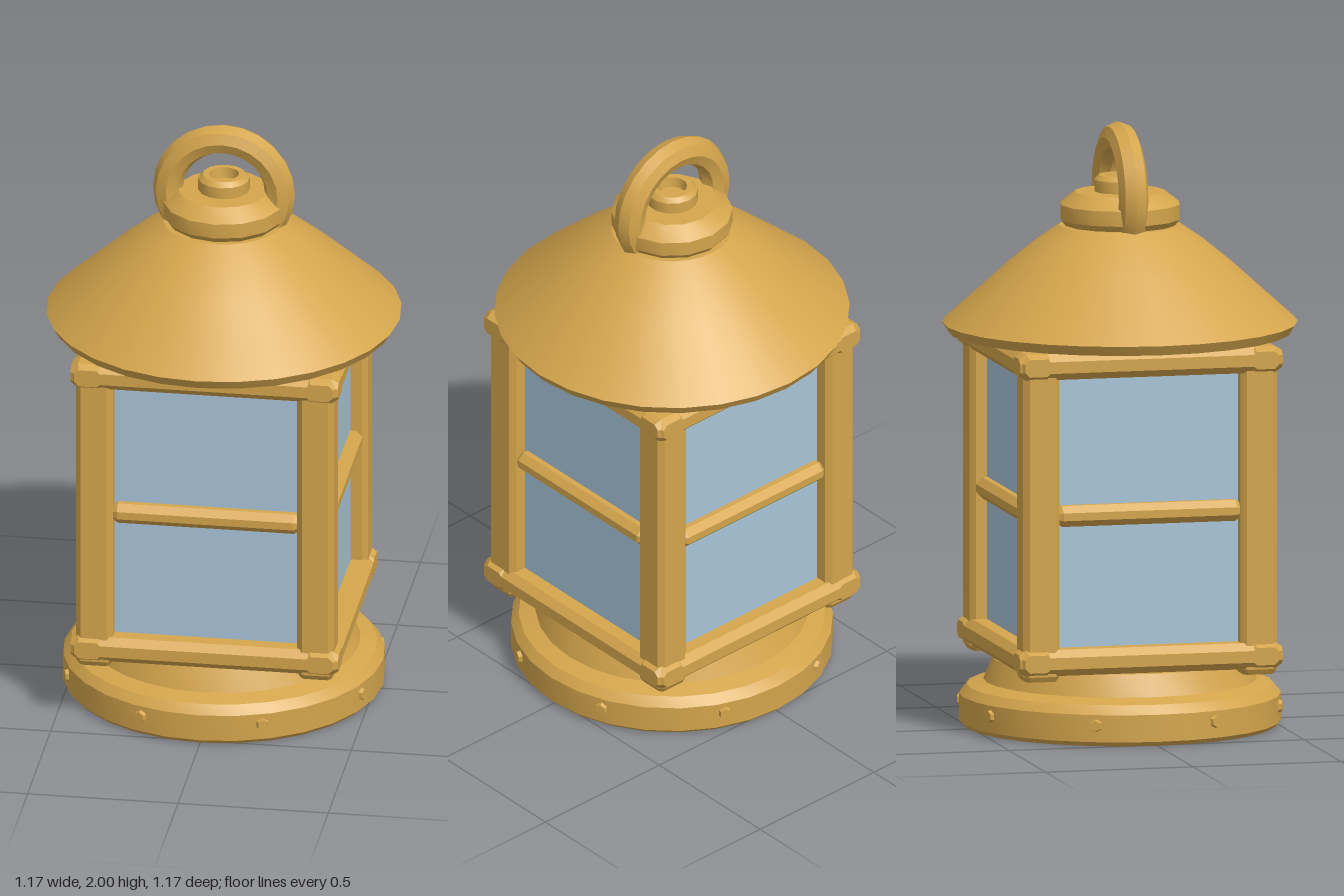
import * as THREE from 'three';
import { toCreasedNormals } from 'three/addons/utils/BufferGeometryUtils.js';

const brass = new THREE.MeshStandardMaterial({ color: 0xd4a54c });
brass.name = 'brass';
const glass = new THREE.MeshStandardMaterial({ color: 0xa8c4d8 });
glass.name = 'glass';

export function createModel() {
  const model = new THREE.Group();
  model.name = 'lantern';

  const add = (parent, name, geometry, material = brass) => {
    const mesh = new THREE.Mesh(geometry, material);
    mesh.name = name;
    parent.add(mesh);
    return mesh;
  };

  // Turned part from a radius/height profile, bottom to top
  const turned = (points, sides) => toCreasedNormals(
    new THREE.LatheGeometry(points.map(([r, y]) => new THREE.Vector2(r, y)), sides), 0.5);

  // Bar along z with chamfered edges and ends, centred on the origin
  const bar = (w, h, length, c) => {
    const x = w / 2, y = h / 2;
    const shape = new THREE.Shape([
      [x, c - y], [x, y - c], [x - c, y], [c - x, y],
      [-x, y - c], [-x, c - y], [c - x, -y], [x - c, -y],
    ].map(([a, b]) => new THREE.Vector2(a, b)));
    return new THREE.ExtrudeGeometry(shape, {
      depth: length - 2 * c, bevelEnabled: true, bevelSegments: 1,
      bevelSize: c * 0.6, bevelOffset: -c * 0.6, bevelThickness: c,
    }).translate(0, 0, c - length / 2);
  };

  // Round base
  add(model, 'base', turned([
    [0, 0], [0.515, 0], [0.53, 0.015], [0.53, 0.105], [0.505, 0.135],
    [0.45, 0.152], [0.42, 0.225], [0, 0.225],
  ], 28));

  // Eight hexagonal bolts around the base
  const boltGeometry = new THREE.CylinderGeometry(0.018, 0.027, 0.03, 6).rotateX(Math.PI / 2).toNonIndexed();
  boltGeometry.computeVertexNormals();
  for (let i = 0; i < 8; i++) {
    const a = (i + 0.5) * Math.PI / 4;
    const bolt = add(model, 'bolt', boltGeometry);
    bolt.position.set(Math.sin(a) * 0.525, 0.07, Math.cos(a) * 0.525);
    bolt.rotation.y = a;
  }

  // Four identical sides: post, two rails, crossbar and pane
  const post = bar(0.123, 1.07, 1, 0.018);
  post.dispose();
  const postGeometry = bar(0.123, 0.123, 1.07, 0.018).rotateX(Math.PI / 2);
  const railGeometry = bar(0.12, 0.087, 0.89, 0.024).rotateY(Math.PI / 2);
  const crossbarGeometry = bar(0.08, 0.07, 0.63, 0.022).rotateY(Math.PI / 2);
  const paneGeometry = new THREE.BoxGeometry(0.64, 0.96, 0.008);
  for (let i = 0; i < 4; i++) {
    const side = new THREE.Group();
    side.name = 'side';
    side.rotation.y = i * Math.PI / 2;
    model.add(side);
    add(side, 'post', postGeometry).position.set(0.368, 0.745, 0.368);
    add(side, 'bottomRail', railGeometry).position.set(0, 0.273, 0.385);
    add(side, 'topRail', railGeometry).position.set(0, 1.257, 0.385);
    add(side, 'crossbar', crossbarGeometry).position.set(0, 0.755, 0.375);
    add(side, 'pane', paneGeometry, glass).position.set(0, 0.765, 0.37);
  }

  // Conical roof with a thin lip
  add(model, 'roof', turned([
    [0, 1.3], [0.565, 1.305], [0.585, 1.338], [0.375, 1.527], [0.28, 1.605], [0.2, 1.66], [0, 1.66],
  ], 28));

  // Cap with a small hollow chimney
  add(model, 'cap', turned([
    [0, 1.65], [0.175, 1.65], [0.2, 1.68], [0.2, 1.73], [0.15, 1.77], [0, 1.772],
  ], 14));
  add(model, 'chimney', turned([
    [0.085, 1.76], [0.085, 1.81], [0.07, 1.825], [0.05, 1.825], [0.045, 1.79], [0, 1.79],
  ], 14));

  // Carrying ring, its lower part sunk into the roof
  const ring = toCreasedNormals(new THREE.TorusGeometry(0.186, 0.05, 8, 24), 0.5);
  add(model, 'carryingRing', ring).position.y = 1.764;

  return model;
}
